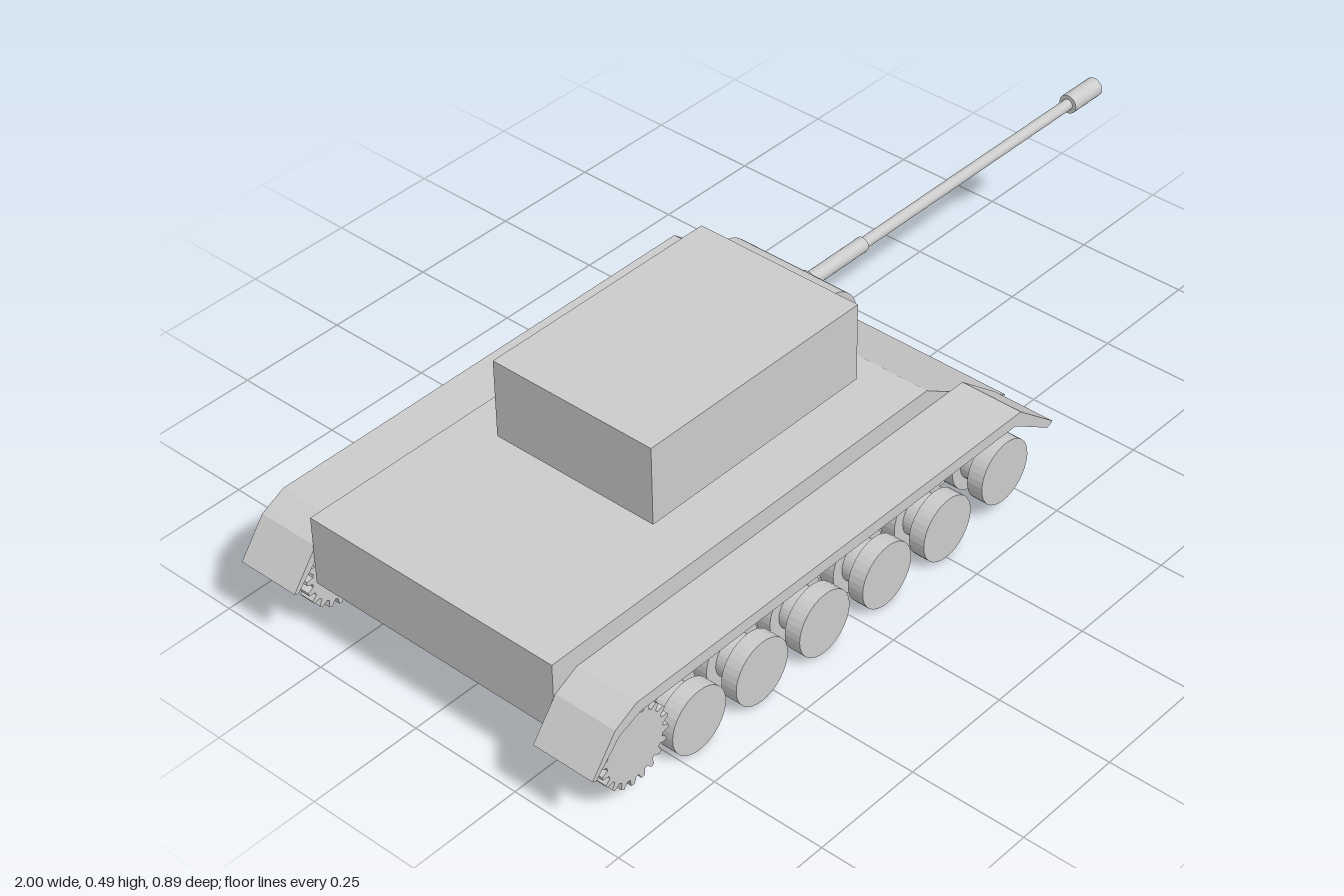
import * as THREE from 'three';

const grey = new THREE.MeshStandardMaterial({ color: 0xcccccc, flatShading: true });

function add(parent, name, geometry, x = 0, y = 0, z = 0) {
  const mesh = new THREE.Mesh(geometry, grey);
  mesh.name = name;
  mesh.position.set(x, y, z);
  parent.add(mesh);
  return mesh;
}

// side profile (x, y) extruded across z, centred on z = 0
function slab(points, width) {
  const shape = new THREE.Shape(points.map(([x, y]) => new THREE.Vector2(x, y)));
  return new THREE.ExtrudeGeometry(shape, { depth: width, bevelEnabled: false, curveSegments: 8 })
    .translate(0, 0, -width / 2);
}

// cylinder lying along z
const disc = (r, width, sides = 32) =>
  new THREE.CylinderGeometry(r, r, width, sides).rotateX(Math.PI / 2);

// cylinder lying along x from x0 to x1
function rod(r, x0, x1) {
  return new THREE.CylinderGeometry(r, r, x1 - x0, 24)
    .rotateZ(-Math.PI / 2).translate((x0 + x1) / 2, 0, 0);
}

// toothed disc outline
function gear(rOuter, rRoot, teeth, width) {
  const pts = [];
  for (let i = 0; i < teeth; i++) {
    [[0, rRoot], [0.3, rRoot], [0.5, rOuter], [0.8, rOuter]].forEach(([f, r]) => {
      const a = ((i + f) / teeth) * Math.PI * 2;
      pts.push([r * Math.cos(a), r * Math.sin(a)]);
    });
  }
  return slab(pts, width);
}

export function createModel() {
  const tank = new THREE.Group();
  tank.name = 'tank';

  // hull
  add(tank, 'hull', slab([
    [-0.945, 0.295], [-0.945, 0.14], [-0.86, 0.03], [0.2, 0.03], [0.33, 0.14], [0.08, 0.295],
  ], 0.606));

  // running gear and fenders, one set per side
  const wheels = [[-0.705, 0.072], [-0.535, 0.072], [-0.36, 0.072],
    [-0.18, 0.072], [0, 0.072], [0.175, 0.104]];
  for (const s of [1, -1]) {
    const side = new THREE.Group();
    side.name = s > 0 ? 'nearRunningGear' : 'farRunningGear';
    tank.add(side);

    add(side, 'fender', slab([
      [-1, 0.147], [-0.94, 0.225], [-0.885, 0.252], [0.19, 0.252], [0.295, 0.168],
      [0.28, 0.16], [0.175, 0.226], [-0.875, 0.226], [-0.93, 0.205], [-0.992, 0.142],
    ], 0.142), 0, 0, s * 0.374);

    wheels.forEach(([x, y]) => {
      const wheel = new THREE.Group();
      wheel.name = 'roadWheel';
      wheel.position.set(x, y, 0);
      side.add(wheel);
      add(wheel, 'innerDisc', disc(0.071, 0.035), 0, 0, s * 0.3355);
      add(wheel, 'outerDisc', disc(0.071, 0.036), 0, 0, s * 0.407);
      add(wheel, 'wheelHub', disc(0.046, 0.038), 0, 0, s * 0.371);
      add(wheel, 'axle', disc(0.02, 0.03, 20), 0, 0, s * 0.308);
    });

    const sprocket = new THREE.Group();
    sprocket.name = 'driveSprocket';
    sprocket.position.set(-0.87, 0.125, 0);
    side.add(sprocket);
    add(sprocket, 'innerGear', gear(0.086, 0.072, 20, 0.034), 0, 0, s * 0.3355);
    add(sprocket, 'outerGear', gear(0.086, 0.072, 20, 0.034), 0, 0, s * 0.407);
    add(sprocket, 'sprocketHub', disc(0.046, 0.038), 0, 0, s * 0.371);
    add(sprocket, 'sprocketAxle', disc(0.02, 0.03, 20), 0, 0, s * 0.308);
  }

  // turret
  const turret = new THREE.Group();
  turret.name = 'turret';
  tank.add(turret);
  add(turret, 'turretRing', new THREE.CylinderGeometry(0.176, 0.176, 0.03, 40), -0.22, 0.304, 0);
  add(turret, 'turretBody', new THREE.BoxGeometry(0.57, 0.175, 0.392), -0.285, 0.403, 0);
  add(turret, 'mantlet', disc(0.081, 0.27, 40), -0.01, 0.404, 0);

  // gun
  const gun = new THREE.Group();
  gun.name = 'gun';
  gun.position.y = 0.404;
  turret.add(gun);
  add(gun, 'gunCollar', rod(0.025, 0.04, 0.085));
  add(gun, 'barrelSleeve', rod(0.016, 0.07, 0.25));
  add(gun, 'barrel', rod(0.012, 0.24, 0.93));
  add(gun, 'muzzle', rod(0.021, 0.91, 1));

  return tank;
}
